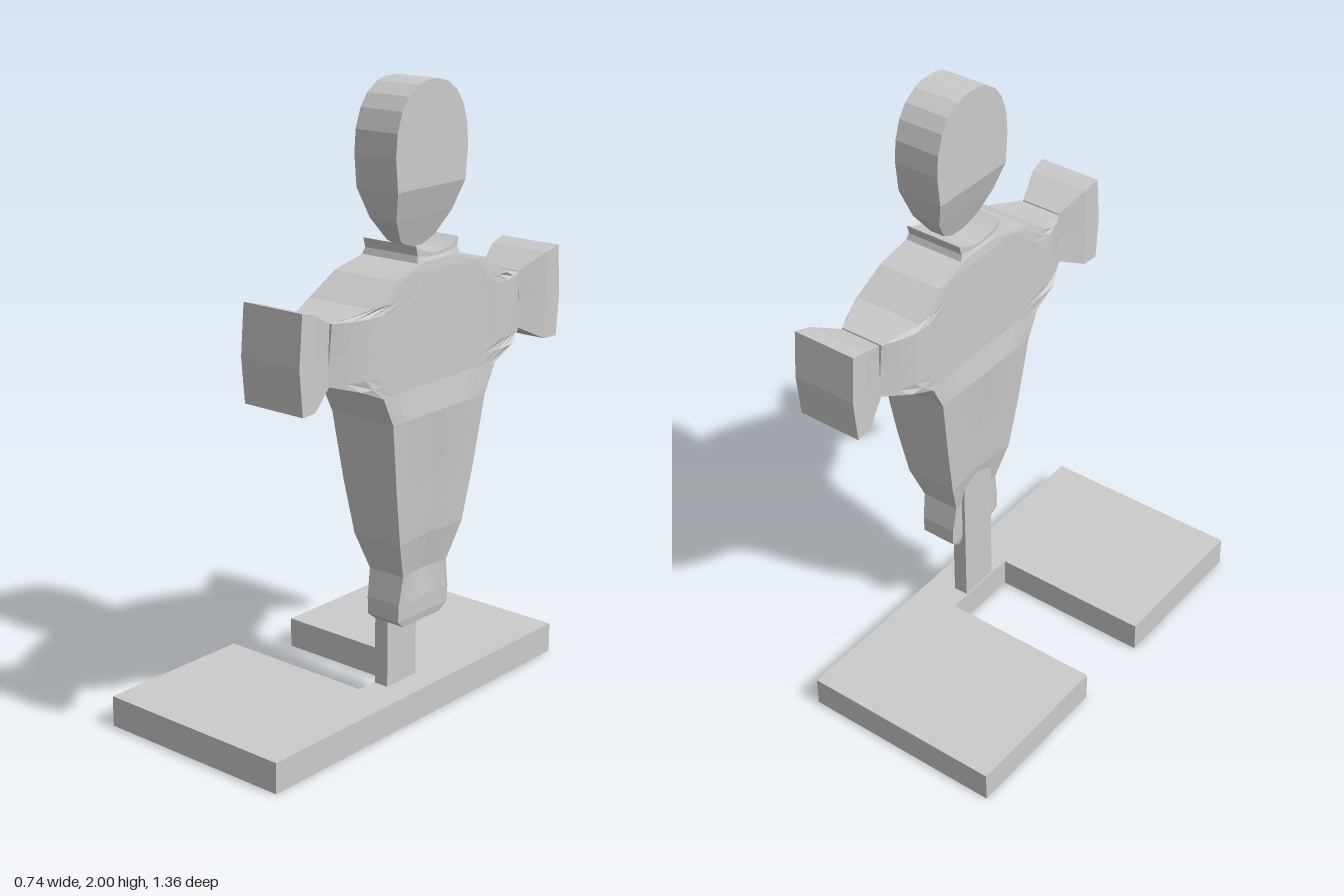
import * as THREE from 'three';

const CX = 0.248; // the figure's mid-plane in x

// Skin a stack of rings (equal even point counts), with ladder-style end caps.
function loft(rings) {
  const pos = [];
  const quad = (a, b, c, d) => pos.push(...a, ...b, ...c, ...a, ...c, ...d);
  const n = rings[0].length;
  for (let i = 0; i < rings.length - 1; i++) {
    for (let j = 0; j < n; j++) {
      const k = (j + 1) % n;
      quad(rings[i][j], rings[i][k], rings[i + 1][k], rings[i + 1][j]);
    }
  }
  const first = rings[0], last = rings[rings.length - 1];
  for (let j = 0; j < n / 2 - 1; j++) {
    quad(last[j], last[j + 1], last[n - 2 - j], last[n - 1 - j]);
    quad(first[n - 1 - j], first[n - 2 - j], first[j + 1], first[j]);
  }
  const geo = new THREE.BufferGeometry();
  geo.setAttribute('position', new THREE.Float32BufferAttribute(pos, 3));
  geo.computeVertexNormals();
  return geo;
}

// Horizontal slab ring: half width w along z, half depth from depth(u, z).
function slabRing(y, w, depth, dip = 0, cols = 16) {
  const front = [], back = [];
  for (let i = 0; i <= cols; i++) {
    const u = 1 - (2 * i) / cols, z = u * w, h = depth(u, Math.abs(z));
    const yy = y - dip * (1 - u * u);
    front.push([h, yy, z]);
    back.unshift([-h, yy, z]);
  }
  return [...front, ...back];
}

// Piecewise linear lookup in [key, value] pairs.
function lerpTable(table, t) {
  for (let i = 1; i < table.length; i++) {
    const [a, va] = table[i - 1], [b, vb] = table[i];
    if (t <= b) return va + (vb - va) * Math.max(0, (t - a) / (b - a));
  }
  return table[table.length - 1][1];
}

export function createModel() {
  const model = new THREE.Group();
  const material = new THREE.MeshStandardMaterial({ color: 0xcccccc, flatShading: true });
  const add = (name, geo, parent = model) => {
    const mesh = new THREE.Mesh(geo, material);
    mesh.name = name;
    parent.add(mesh);
    return mesh;
  };

  // U-shaped foot plate, slot open towards -x
  const plate = new THREE.Shape([
    [-0.375, -0.68], [0.315, -0.68], [0.315, 0.68], [-0.375, 0.68],
    [-0.375, 0.14], [0.17, 0.14], [0.17, -0.14], [-0.375, -0.14],
  ].map(([x, y]) => new THREE.Vector2(x, y)));
  const plateGeo = new THREE.ExtrudeGeometry(plate, { depth: 0.1, bevelEnabled: false });
  add('basePlate', plateGeo.rotateX(-Math.PI / 2));

  // Flat post carrying the figure
  add('post', new THREE.BoxGeometry(0.05, 0.67, 0.14)).position.set(0.2, 0.385, 0);

  const figure = new THREE.Group();
  figure.name = 'figure';
  figure.position.x = CX;
  model.add(figure);

  // Torso with arm stubs: [height, half width, half depth, dip]
  const depthByZ = [[0, 0.108], [0.1, 0.108], [0.22, 0.115], [0.3, 0.122], [0.36, 0.114], [0.45, 0.07]];
  const torsoRows = [
    [0.33, 0.09, 0.055], [0.355, 0.12, 0.06], [0.41, 0.12, 0.062], [0.5, 0.105, 0.066],
    [0.62, 0.15, 0.09], [0.8, 0.185, 0.104], [1.02, 0.22, 0.118], [1.11, 0.265, 0.122],
    [1.15, 0.36, 0.122], [1.18, 0.455, 0.122], [1.27, 0.447, 0.122], [1.36, 0.44, 0.12],
    [1.385, 0.32, 0.118], [1.45, 0.215, 0.112], [1.48, 0.1, 0.105], [1.5, 0.092, 0.1, 0.01],
    [1.53, 0.1, 0.1, 0.03],
  ];
  add('torso', loft(torsoRows.map(([y, w, h, dip]) => slabRing(y, w, (u, z) => {
    const hollow = y > 0.45 && y < 0.9 ? 0.012 * (1 - Math.abs(u)) : 0;
    return Math.min(h, y > 1.05 ? lerpTable(depthByZ, z) : h) - hollow;
  }, dip))), figure);

  // Head: flat oval tapering to the chin
  const headRows = [
    [1.505, 0.03, 0.018], [1.53, 0.08, 0.026], [1.6, 0.13, 0.05], [1.69, 0.157, 0.078],
    [1.79, 0.167, 0.078], [1.86, 0.161, 0.078], [1.92, 0.14, 0.078], [1.96, 0.11, 0.078],
    [1.99, 0.065, 0.078], [2.0, 0.025, 0.078],
  ];
  add('head', loft(headRows.map(([y, w, h]) => slabRing(y, w, () => h))), figure);

  // Flared hands: [z at edges, z at middle, bottom, top, half depth]
  const handRows = [
    [0.445, 0.45, 1.18, 1.36, 0.07],
    [0.545, 0.55, 1.13, 1.41, 0.105],
    [0.602, 0.615, 1.13, 1.425, 0.11],
  ];
  const handGeo = loft(handRows.map(([ze, zm, lo, hi, h]) => {
    const side = [[lo, ze], [1.27, zm], [hi, ze]];
    return [...side.map(([y, z]) => [h, y, z]), ...side.reverse().map(([y, z]) => [-h, y, z])];
  }));
  add('leftHand', handGeo, figure);
  add('rightHand', handGeo, figure).rotation.y = Math.PI;

  return model;
}
